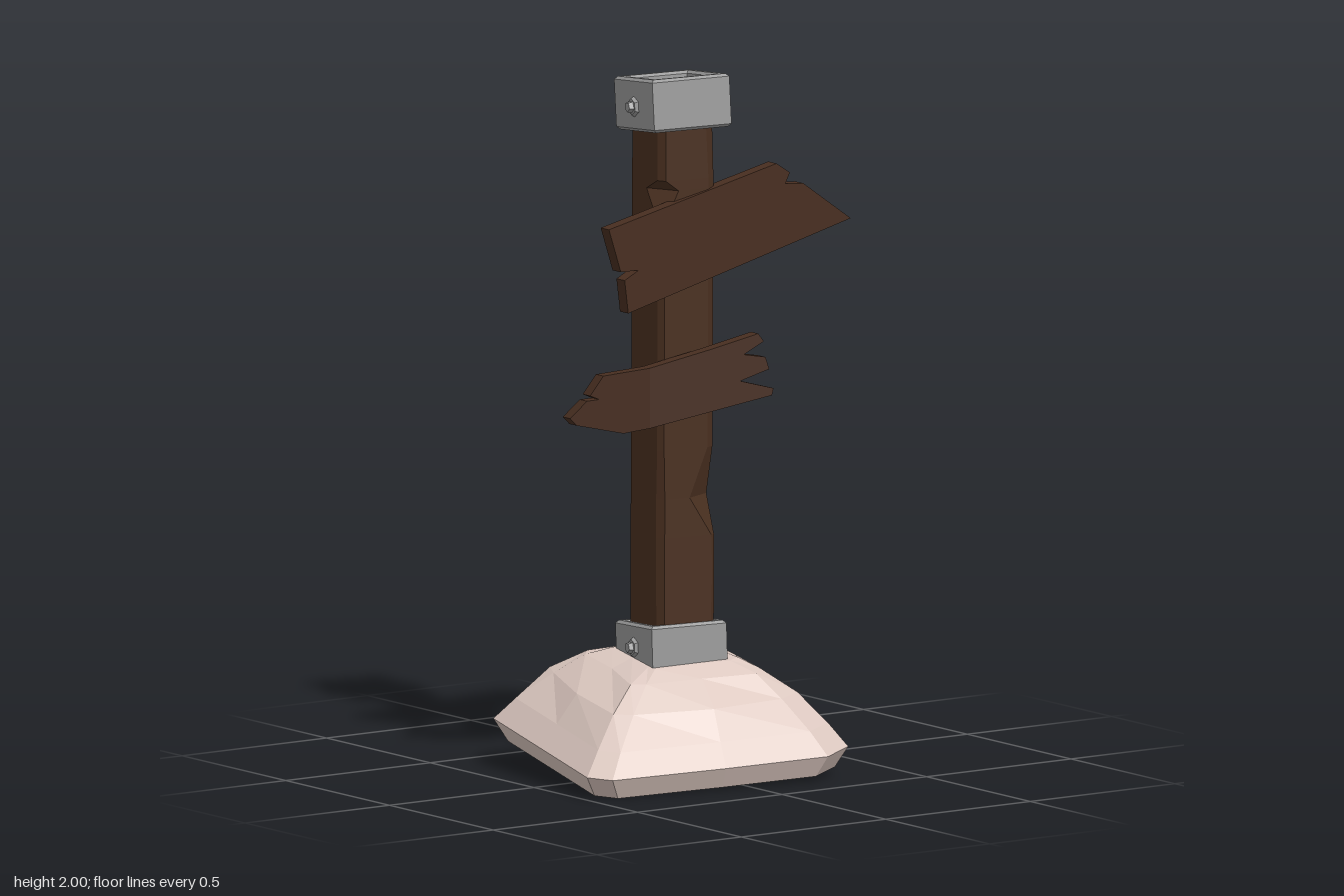
import * as THREE from 'three';

const mat = (color) => new THREE.MeshStandardMaterial({ color, flatShading: true });
const TURN = 0.13; // shared twist of the post and collars around y

// Skin stacked rings (clockwise seen from above, bottom first) and cap both ends
function loft(rings) {
  const pos = [];
  const n = rings[0].length;
  const tri = (...p) => p.forEach((q) => pos.push(...q));
  const mid = (r) => [0, 1, 2].map((k) => r.reduce((s, p) => s + p[k], 0) / n);
  for (let j = 0; j < n; j++) {
    const k = (j + 1) % n;
    for (let i = 0; i + 1 < rings.length; i++) {
      const [a, b, c, d] = [rings[i][j], rings[i][k], rings[i + 1][k], rings[i + 1][j]];
      tri(a, d, c);
      tri(a, c, b);
    }
    const low = rings[0], top = rings[rings.length - 1];
    tri(mid(low), low[j], low[k]);
    tri(mid(top), top[k], top[j]);
  }
  const g = new THREE.BufferGeometry();
  g.setAttribute('position', new THREE.Float32BufferAttribute(pos, 3));
  g.computeVertexNormals();
  return g;
}

// Plank cut from a [z, y] outline; pathX gives its x position along z
function plank(outline, thickness, pathX) {
  const shape = new THREE.Shape(outline.map(([z, y]) => new THREE.Vector2(-z, y)));
  const g = new THREE.ExtrudeGeometry(shape, { depth: thickness, bevelEnabled: false });
  g.translate(0, 0, -thickness / 2);
  g.rotateY(Math.PI / 2);
  const p = g.attributes.position;
  for (let i = 0; i < p.count; i++) p.setX(i, p.getX(i) + pathX(p.getZ(i)));
  g.computeVertexNormals();
  return g;
}

// Boulder: one outline scaled through several heights on a sloping ground plane
function rockGeometry() {
  const outline = [[-0.25, -0.37], [0.06, -0.345], [0.36, -0.33], [0.415, -0.22], [0.37, 0.1], [0.31, 0.45],
    [0.25, 0.495], [-0.06, 0.435], [-0.37, 0.375], [-0.415, 0.31], [-0.37, 0], [-0.325, -0.31]];
  const levels = [[0.92, 0], [1, 0.062], [0.88, 0.125], [0.71, 0.205], [0.5, 0.265], [0.34, 0.29]];
  return loft(levels.map(([s, h], i) => outline.map(([x, z], j) => {
    const wobble = i > 2 ? 1 + 0.05 * Math.sin(j * 2.3 + i * 1.7) : 1;
    const px = x * s * wobble, pz = z * s * wobble;
    return [px, 0.044 - 0.105 * px - 0.04 * pz + h, pz];
  })));
}

// Post: square section, two +x corners chipped by varying amounts
function postGeometry() {
  // y, centre x, half width, back chip, front chip
  const levels = [
    [0.28, 0.008, 0.088, 0.012, 0.012], [0.58, 0.008, 0.088, 0.006, 0.015], [0.68, 0.008, 0.088, 0.008, 0.015],
    [0.79, 0.008, 0.087, 0.05, 0.015], [0.93, 0.009, 0.087, 0.015, 0.012], [1.58, 0.013, 0.087, 0.015, 0.012],
    [1.67, 0.014, 0.087, 0.015, 0.055], [1.7, 0.014, 0.087, 0.015, 0.015], [1.94, 0.012, 0.085, 0.02, 0.015],
  ];
  const c = Math.cos(TURN), s = Math.sin(TURN);
  return loft(levels.map(([y, cx, h, b, f]) => [
    [-h, -h], [h - b, -h], [h, -h + 1.6 * b], [h, h - f], [h - 1.6 * f, h], [-h, h],
  ].map(([x, z]) => [cx + x * c - z * s, y, 0.025 + x * s + z * c])));
}

// Hollow square collar with a bolt on its front and back
function collar(name, height, metal) {
  const g = new THREE.Group();
  g.name = name;
  const w = 0.228, d = 0.246, bevel = 0.008, wall = 0.028;
  const rect = (a, b, Type) => new Type([[-a, -b], [a, -b], [a, b], [-a, b]].map(([x, y]) => new THREE.Vector2(x, y)));
  const shape = rect(w / 2 - bevel, d / 2 - bevel, THREE.Shape);
  shape.holes.push(rect(w / 2 - wall + bevel, d / 2 - wall + bevel, THREE.Path));
  const geo = new THREE.ExtrudeGeometry(shape, {
    depth: height - 2 * bevel, bevelSize: bevel, bevelThickness: bevel, bevelSegments: 1,
  });
  geo.translate(0, 0, bevel - height / 2);
  geo.rotateX(-Math.PI / 2);
  const band = new THREE.Mesh(geo, metal);
  band.name = name + 'Band';
  g.add(band);
  for (const side of [1, -1]) {
    [[0.03, 0.012, 6, 0.004], [0.018, 0.014, 5, 0.016]].forEach(([r, len, sides, out], i) => {
      const bolt = new THREE.Mesh(new THREE.CylinderGeometry(r * 0.8, r, len, sides), metal);
      bolt.name = i ? 'boltHead' : 'boltWasher';
      bolt.rotation.x = side * Math.PI / 2;
      bolt.position.set(0, -0.005, side * (d / 2 + out));
      g.add(bolt);
    });
  }
  return g;
}

export function createModel() {
  const model = new THREE.Group();
  model.name = 'signpost';
  const wood = mat(0x4a3020), signWood = mat(0x482e20), metal = mat(0x999999), stone = mat(0xdcc8c0);
  const add = (name, geo, material) => {
    const m = new THREE.Mesh(geo, material);
    m.name = name;
    model.add(m);
  };

  add('rockBase', rockGeometry(), stone);
  add('post', postGeometry(), wood);

  const topCollar = collar('topCollar', 0.15, metal);
  topCollar.position.set(0.004, 1.908, 0.022);
  topCollar.rotation.set(0, -TURN, 0.1);
  const lowCollar = collar('bottomCollar', 0.125, metal);
  lowCollar.scale.set(0.95, 1, 0.97);
  lowCollar.position.set(0.003, 0.365, 0.026);
  lowCollar.rotation.set(0, -TURN, 0.06);
  model.add(topCollar, lowCollar);

  // Upper sign: straight pointed plank with a notch near the tip
  add('upperSign', plank([
    [0.315, 1.585], [-0.25, 1.72], [-0.295, 1.69], [-0.28, 1.66], [-0.34, 1.655],
    [-0.5, 1.54], [0.25, 1.34], [0.262, 1.435], [0.215, 1.46], [0.275, 1.46],
  ], 0.04, (z) => 0.096 - 0.037 * z), signWood);

  // Lower sign: splintered rear half and a tip bent round the post
  const bend = 0.17;
  const bentPath = (z) => (z < bend ? 0.083 + (bend - z) * 0.345 : 0.083 - (z - bend) * 0.75);
  add('lowerSign', plank([
    [bend, 1.175], [0, 1.22], [-0.13, 1.258], [-0.145, 1.235], [-0.09, 1.2], [-0.15, 1.19], [-0.16, 1.155],
    [-0.08, 1.125], [-0.172, 1.1], [-0.168, 1.08], [bend, 1.003],
  ], 0.036, bentPath), signWood);
  add('lowerSignTip', plank([
    [bend, 1.175], [0.275, 1.152], [0.305, 1.095], [0.285, 1.085], [0.312, 1.08], [0.35, 1.03],
    [0.335, 1.01], [0.23, 0.988], [bend, 1.003],
  ], 0.036, bentPath), signWood);

  return model;
}
